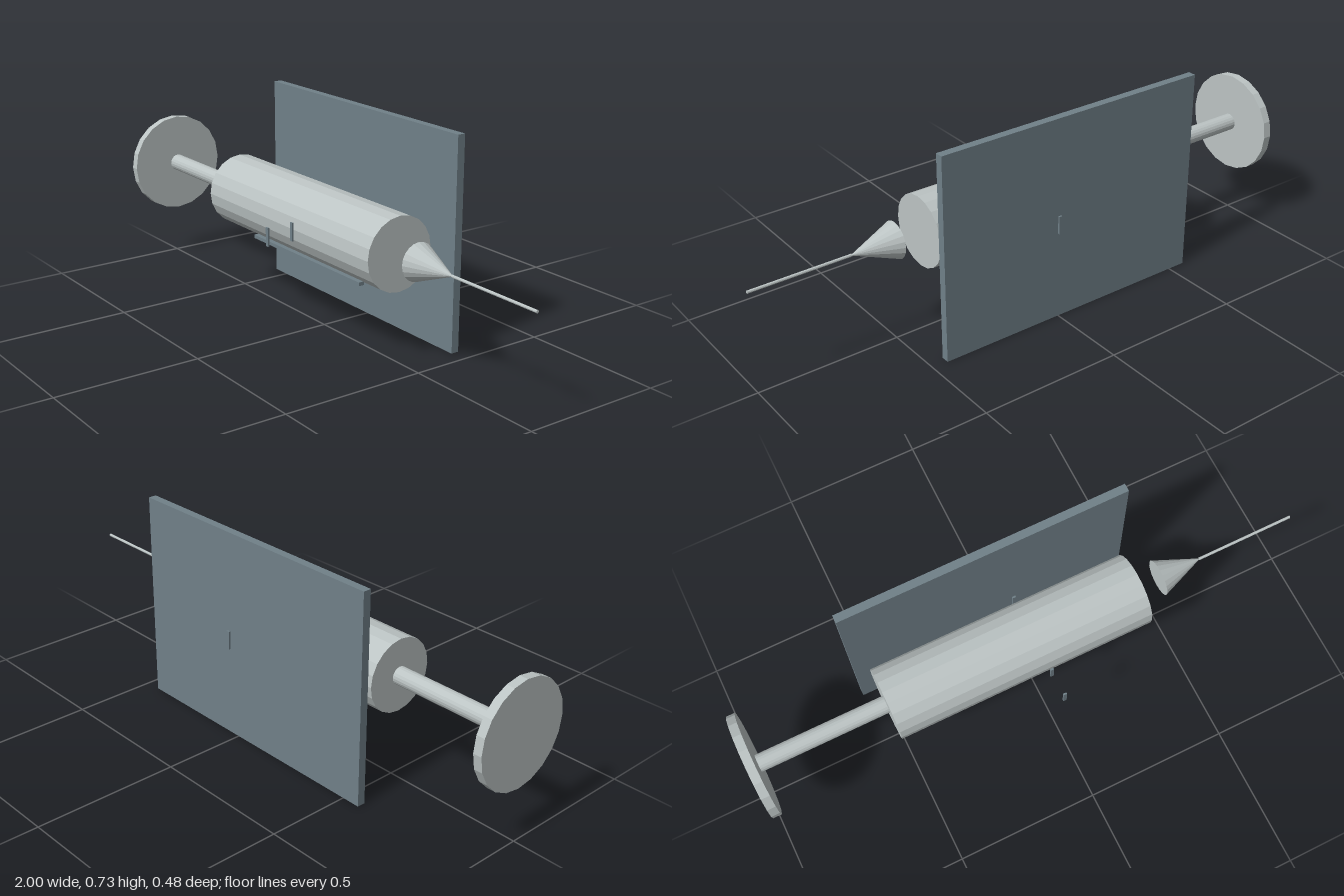
import * as THREE from 'three';

export function createModel() {
  const group = new THREE.Group();
  const paleMetal = new THREE.MeshStandardMaterial({ color: 0xbcc4c4, flatShading: true });
  paleMetal.name = 'pale metal';
  const slate = new THREE.MeshStandardMaterial({ color: 0x708088, flatShading: true });
  slate.name = 'slate';
  const axisY = 0.363;

  const add = (name, geometry, material, x, y, z) => {
    const mesh = new THREE.Mesh(geometry, material);
    mesh.name = name;
    mesh.position.set(x, y, z);
    group.add(mesh);
  };

  // Round part along the x axis, from x0 to x1
  const round = (name, x0, x1, r0, r1, sides = 20) => {
    const geometry = new THREE.CylinderGeometry(r1, r0, x1 - x0, sides);
    geometry.rotateZ(-Math.PI / 2);
    add(name, geometry, paleMetal, (x0 + x1) / 2, axisY, 0);
  };

  round('plungerDisc', -1, -0.97, 0.18, 0.18);
  round('plungerRod', -0.97, -0.51, 0.03, 0.03);
  round('barrel', -0.52, 0.398, 0.125, 0.125);
  round('nozzleCone', 0.488, 0.65, 0.064, 0);
  round('needle', 0.645, 1, 0.005, 0.005, 8);

  // Backing panel and the thin strip below the barrel
  add('backPanel', new THREE.BoxGeometry(1.01, 0.726, 0.028), slate, -0.06, 0.363, -0.199);
  add('lowerStrip', new THREE.BoxGeometry(0.6, 0.012, 0.02), slate, 0.015, 0.259, 0.084);

  // Small upright marks on both sides
  for (const side of [1, -1]) {
    for (const z of [0.142, 0.236]) {
      add('sideMark', new THREE.BoxGeometry(0.012, 0.063, 0.006), slate, 0.015, axisY, side * z);
    }
  }
  return group;
}
